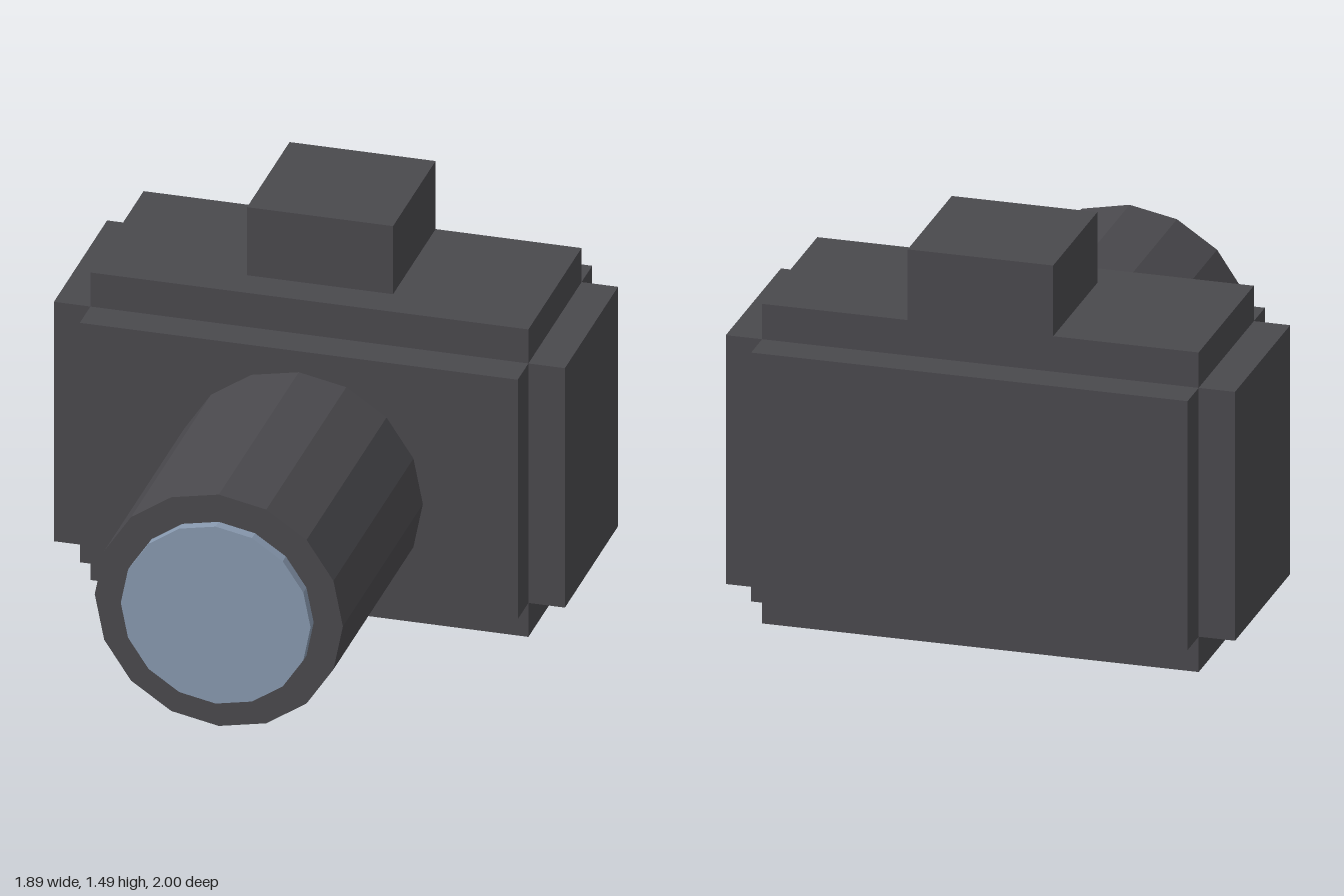
import * as THREE from 'three';

export function createModel() {
  const model = new THREE.Group();
  model.name = 'camera';
  const casing = new THREE.MeshStandardMaterial({ name: 'dark grey casing', color: 0x4a494d, flatShading: true });
  const glass = new THREE.MeshStandardMaterial({ name: 'blue glass', color: 0x8899af, flatShading: true });

  const add = (name, geometry, material, x, y, z) => {
    const mesh = new THREE.Mesh(geometry, material);
    mesh.name = name;
    mesh.position.set(x, y, z);
    model.add(mesh);
  };
  // Box centred on x = 0, given its half width and its y and z ranges
  const box = (name, halfWidth, y0, y1, z0, z1) =>
    add(name, new THREE.BoxGeometry(halfWidth * 2, y1 - y0, z1 - z0), casing, 0, (y0 + y1) / 2, (z0 + z1) / 2);
  // 16-sided cylinder along z, with a vertex at the top
  const barrel = (name, radius, z0, z1, material) =>
    add(name, new THREE.CylinderGeometry(radius, radius, z1 - z0, 16).rotateX(Math.PI / 2), material, 0, 0.543, (z0 + z1) / 2);

  // Body: a core with panels on the front and back
  box('bodyCore', 0.81, 0, 1.22, -0.865, -0.19);
  box('frontPanel', 0.81, 0.135, 1.085, -0.19, -0.055);
  box('backPanel', 0.81, 0.135, 1.085, -1, -0.865);

  // Mirrored side panels
  for (const [side, name] of [[1, 'leftPanel'], [-1, 'rightPanel']]) {
    add(name, new THREE.BoxGeometry(0.135, 0.95, 0.675), casing, side * 0.8775, 0.61, -0.5275);
  }

  // Viewfinder block on top
  box('viewfinder', 0.27, 1.22, 1.49, -0.865, -0.325);

  // Lens
  barrel('lensBarrel', 0.459, -0.12, 0.96, casing);
  barrel('lensGlass', 0.351, 0.96, 1, glass);

  return model;
}
